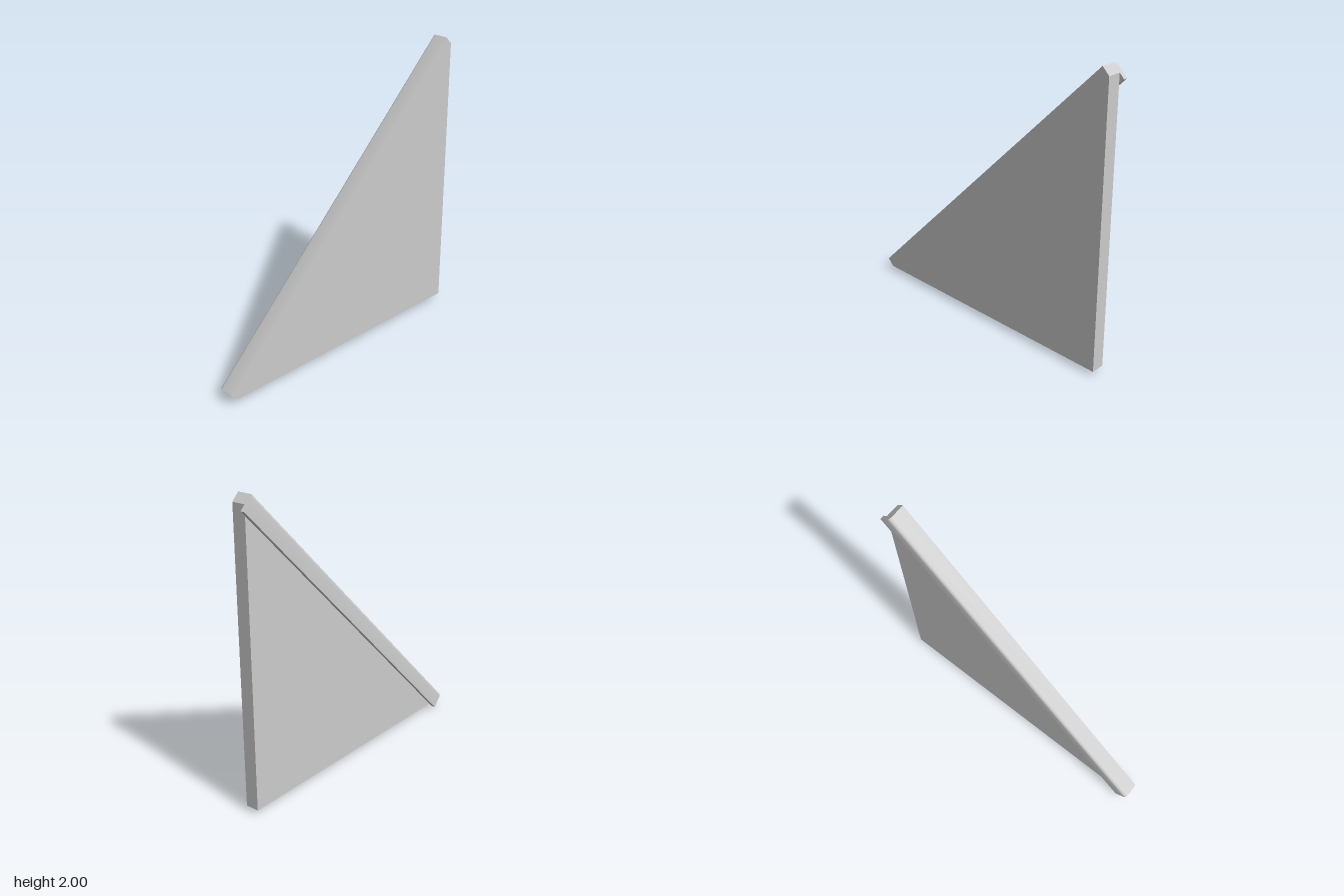
import * as THREE from 'three';
import { toCreasedNormals } from 'three/addons/utils/BufferGeometryUtils.js';

const HALF = 0.06;        // half of the total thickness
const LIP = 0.027;        // thickness of the hanging lip
const FLANGE = 0.048;     // flange depth, measured along y and z
const DROP = 0.08;        // lip depth, measured along y and z
const RADIUS = 0.025;     // rounded outer edge of the trim

function makeMesh(name, shape, depth, material) {
  const geometry = new THREE.ExtrudeGeometry(shape, { depth, bevelEnabled: false, curveSegments: 8 });
  const mesh = new THREE.Mesh(toCreasedNormals(geometry, 0.6), material);
  mesh.name = name;
  return mesh;
}

export function createModel() {
  const group = new THREE.Group();
  group.name = 'triangularPanelWithTrim';
  const material = new THREE.MeshStandardMaterial({ color: 0xcccccc });

  // Right-angled panel, drawn in the z-y plane and extruded across x
  const triangle = new THREE.Shape([
    new THREE.Vector2(-0.92 - FLANGE, DROP - FLANGE),
    new THREE.Vector2(1 - FLANGE, DROP - FLANGE),
    new THREE.Vector2(-0.92 - FLANGE, 2 - FLANGE),
  ]);
  const panel = makeMesh('panel', triangle, 2 * HALF - LIP, material);
  panel.rotation.y = -Math.PI / 2;
  panel.position.x = HALF;
  group.add(panel);

  // L-shaped trim running down the sloping edge, its lip on the -x side
  const flange = FLANGE * Math.SQRT2;
  const drop = DROP * Math.SQRT2;
  const profile = new THREE.Shape();
  profile.moveTo(HALF, 0);
  profile.lineTo(-HALF + RADIUS, 0);
  profile.absarc(-HALF + RADIUS, -RADIUS, RADIUS, Math.PI / 2, Math.PI, false);
  profile.lineTo(-HALF, -drop);
  profile.lineTo(-HALF + LIP, -drop);
  profile.lineTo(-HALF + LIP, -flange);
  profile.lineTo(HALF, -flange);
  profile.closePath();
  const trim = makeMesh('slopingTrim', profile, 1.92 * Math.SQRT2, material);
  trim.rotation.x = Math.PI / 4;
  trim.position.set(0, 2, -0.92);
  group.add(trim);

  return group;
}
